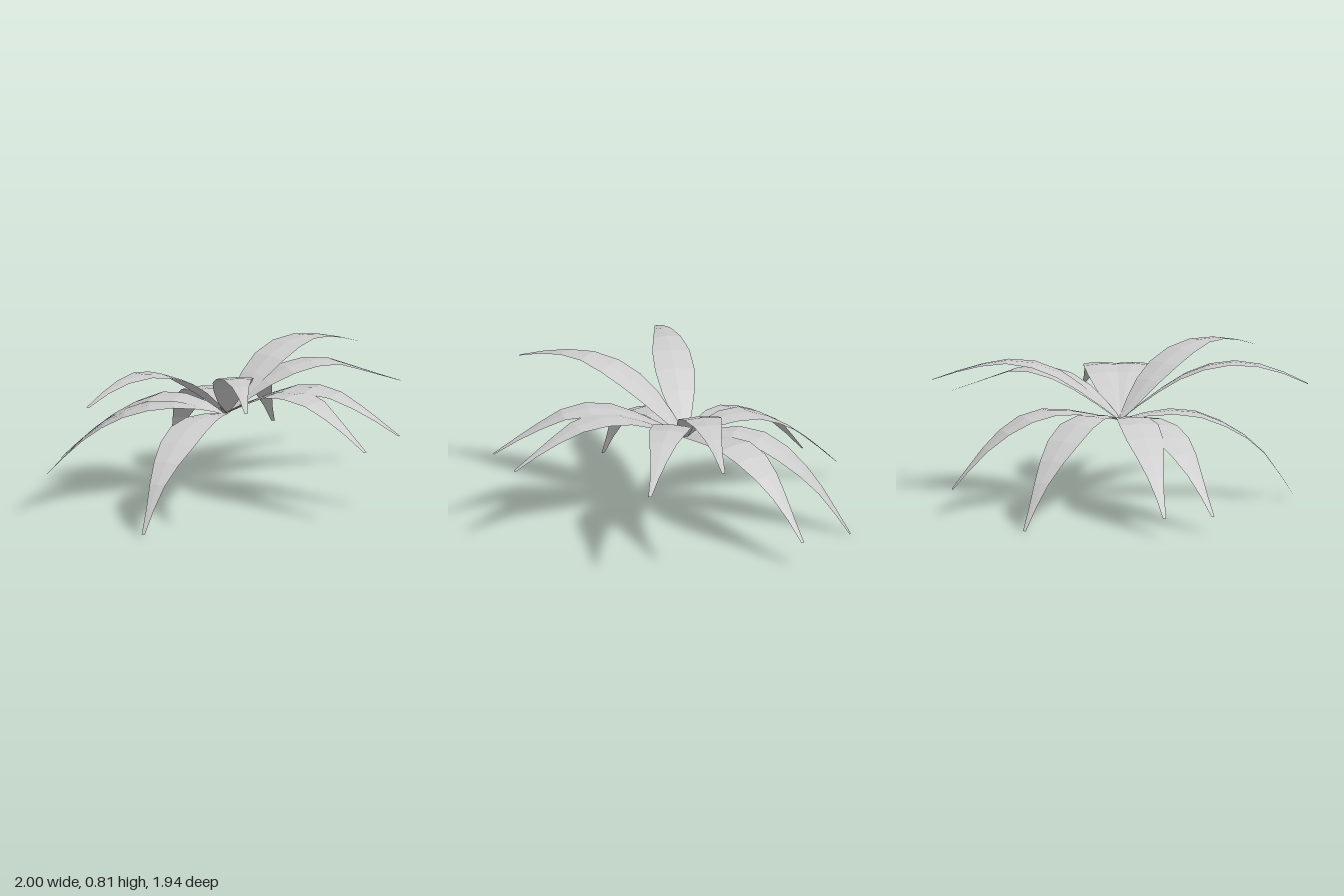
import * as THREE from 'three';

// Each leaf: tip x, tip z, then heights at 20, 40, 60, 80 and 100 % of its reach
const LEAVES = [
  [1.0, 0.0, 0.62, 0.735, 0.762, 0.72, 0.65],
  [0.91, 0.38, 0.6, 0.68, 0.68, 0.6, 0.52],
  [0.24, 0.94, 0.57, 0.65, 0.65, 0.57, 0.46],
  [-0.07, 0.97, 0.57, 0.65, 0.65, 0.56, 0.44],
  [-0.68, 0.66, 0.64, 0.76, 0.81, 0.79, 0.73],
  [-0.91, 0.14, 0.49, 0.49, 0.42, 0.285, 0.02],
  [-1.0, -0.17, 0.62, 0.74, 0.785, 0.76, 0.68],
  [-0.53, -0.85, 0.5, 0.495, 0.43, 0.29, 0.09],
  [-0.28, -0.97, 0.51, 0.515, 0.43, 0.285, 0.1],
  [0.47, -0.84, 0.51, 0.51, 0.42, 0.255, 0.0],
  [0.87, -0.47, 0.505, 0.535, 0.49, 0.355, 0.15],
];
const ROOT = new THREE.Vector3(0, 0.455, -0.06);
// Half width from root to tip, at equal steps along the leaf
const HALF_WIDTH = [0.015, 0.055, 0.088, 0.105, 0.1, 0.074, 0.045, 0.023, 0.009];

// Three points per row (edge, midrib, edge) swept along an arching midrib
function leafGeometry([tipX, tipZ, ...heights]) {
  const points = [ROOT.clone()];
  heights.forEach((y, i) => {
    const t = (i + 1) / heights.length;
    points.push(new THREE.Vector3(tipX * t, y, ROOT.z + (tipZ - ROOT.z) * t));
  });
  const rows = HALF_WIDTH.length - 1;
  const midrib = new THREE.CatmullRomCurve3(points).getSpacedPoints(rows);
  const along = new THREE.Vector3(tipX, 0, tipZ - ROOT.z).normalize();
  const side = new THREE.Vector3(-along.z, 0, along.x);

  const positions = [];
  const index = [];
  midrib.forEach((p, i) => {
    const w = HALF_WIDTH[i];
    for (const s of [-1, 0, 1]) {
      // edges drop slightly below the midrib
      positions.push(p.x + side.x * w * s, p.y - Math.abs(s) * w * 0.08, p.z + side.z * w * s);
    }
    if (i === rows) return;
    for (let k = 0; k < 2; k++) {
      const a = i * 3 + k;
      index.push(a, a + 3, a + 1, a + 1, a + 3, a + 4);
    }
  });
  const geometry = new THREE.BufferGeometry();
  geometry.setAttribute('position', new THREE.Float32BufferAttribute(positions, 3));
  geometry.setIndex(index);
  geometry.computeVertexNormals();
  return geometry;
}

export function createModel() {
  const model = new THREE.Group();
  model.name = 'leafRosette';
  const leafGrey = new THREE.MeshStandardMaterial({
    color: 0xcccccc, flatShading: true, side: THREE.DoubleSide,
  });
  leafGrey.name = 'leaf grey';

  LEAVES.forEach((leaf, i) => {
    const mesh = new THREE.Mesh(leafGeometry(leaf), leafGrey);
    mesh.name = `leaf${i + 1}`;
    model.add(mesh);
  });
  return model;
}
